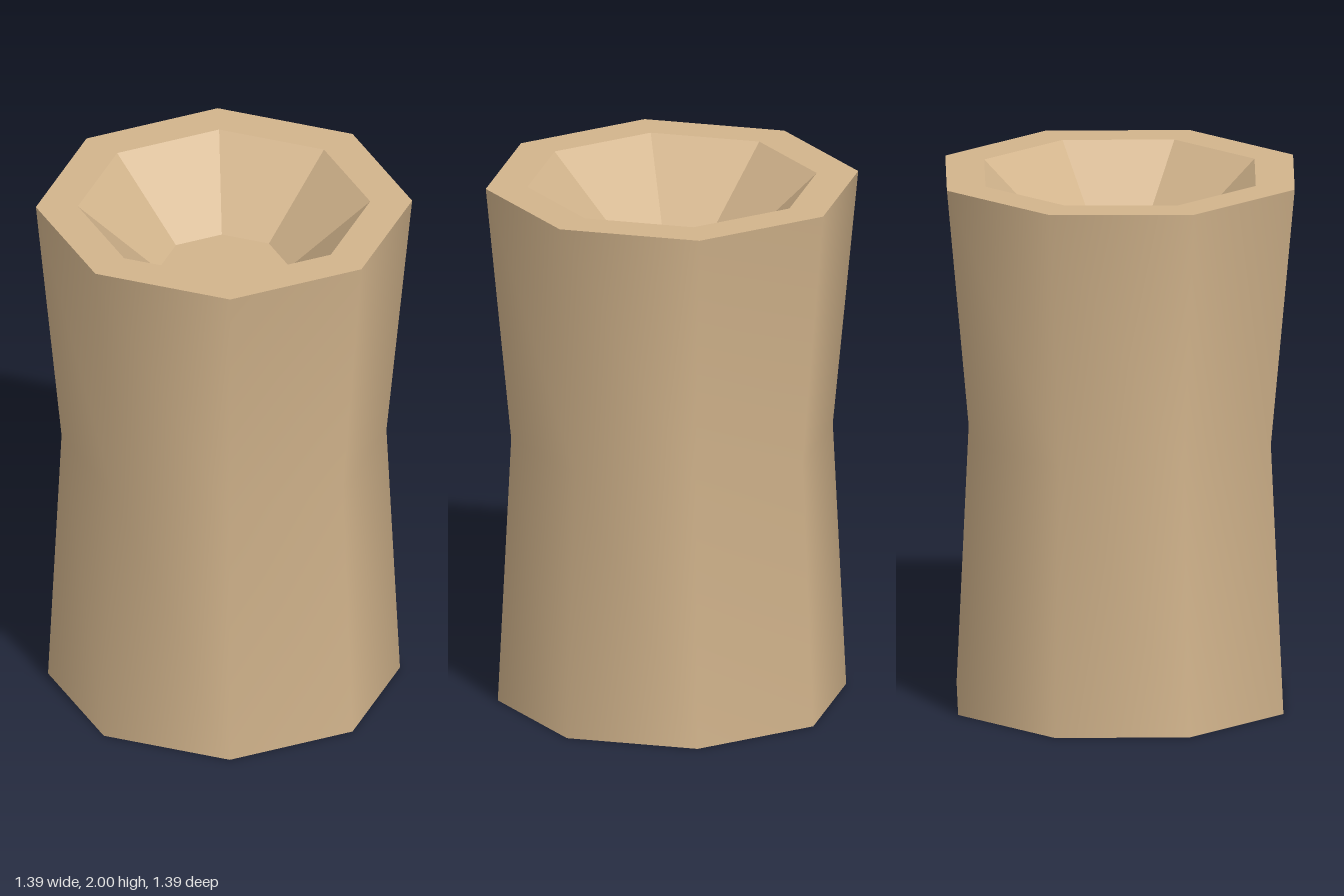
import * as THREE from 'three';

const SIDES = 8;

// Revolve a profile of [radius, height] pairs into an eight-sided surface
function revolve(profile) {
  return new THREE.LatheGeometry(profile.map(([r, y]) => new THREE.Vector2(r, y)), SIDES);
}

// Split the faces so that each one is shaded flat
function faceted(geometry) {
  const flat = geometry.toNonIndexed();
  flat.computeVertexNormals();
  return flat;
}

export function createModel() {
  const tan = new THREE.MeshStandardMaterial({ color: 0xd2b48c });
  tan.name = 'tan';

  const group = new THREE.Group();
  group.name = 'waistedPot';
  const add = (name, geometry) => {
    const mesh = new THREE.Mesh(geometry, tan);
    mesh.name = name;
    group.add(mesh);
  };

  // Smooth outer wall, narrowing at the waist
  add('outerWall', revolve([[0.65, 0], [0.6, 1.02], [0.695, 2]]));

  // Flat underside
  add('base', faceted(revolve([[0, 0], [0.65, 0]])));

  // Flat rim around the opening
  add('rim', faceted(revolve([[0.695, 2], [0.54, 2]])));

  // Faceted hollow with its small floor
  add('bowl', faceted(revolve([[0.54, 2], [0.243, 1.725]])));
  add('bowlFloor', faceted(revolve([[0.243, 1.725], [0, 1.725]])));

  return group;
}
